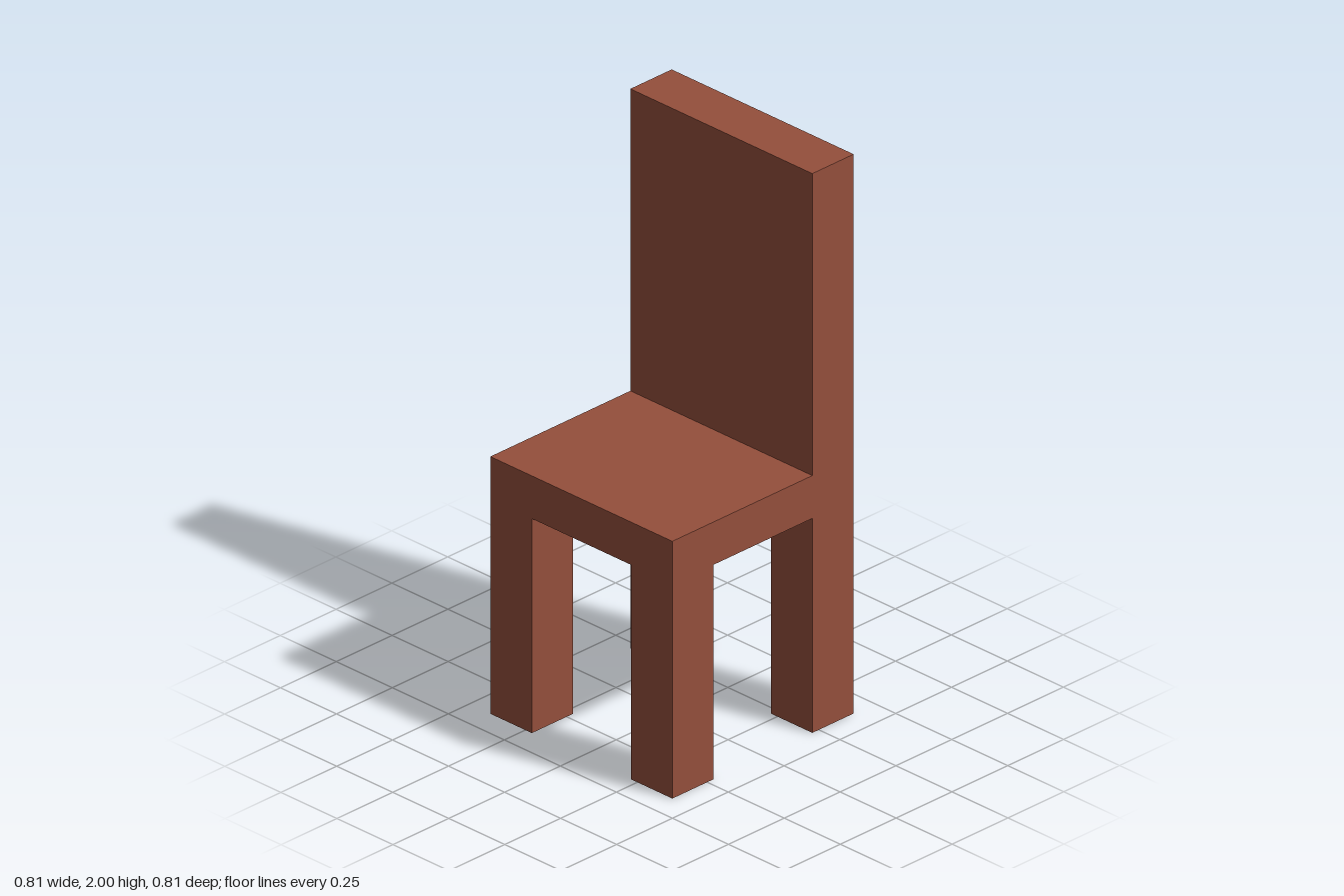
import * as THREE from 'three';

const HALF = 0.406;        // half width and depth
const LEG = 0.185;         // leg and backrest thickness
const SEAT_BOTTOM = 0.767;
const SEAT_TOP = 0.92;
const HEIGHT = 2;

export function createModel() {
  const chair = new THREE.Group();
  chair.name = 'chair';
  const wood = new THREE.MeshStandardMaterial({ color: 0x944f3c });
  wood.name = 'reddish brown wood';

  // Box whose y is given as the height of its underside
  const addBox = (name, [w, h, d], [x, bottom, z]) => {
    const mesh = new THREE.Mesh(new THREE.BoxGeometry(w, h, d), wood);
    mesh.name = name;
    mesh.position.set(x, bottom + h / 2, z);
    chair.add(mesh);
  };

  // Seat slab
  addBox('seat', [2 * HALF, SEAT_TOP - SEAT_BOTTOM, 2 * HALF], [0, SEAT_BOTTOM, 0]);

  // Backrest panel, flush with the rear of the seat
  const inset = HALF - LEG / 2;
  addBox('backrest', [2 * HALF, HEIGHT - SEAT_TOP, LEG], [0, SEAT_TOP, -inset]);

  // Four square legs, flush with the seat corners
  for (const [side, sx] of [['Left', 1], ['Right', -1]]) {
    for (const [end, sz] of [['front', 1], ['back', -1]]) {
      addBox(`${end}${side}Leg`, [LEG, SEAT_BOTTOM, LEG], [sx * inset, 0, sz * inset]);
    }
  }
  return chair;
}
